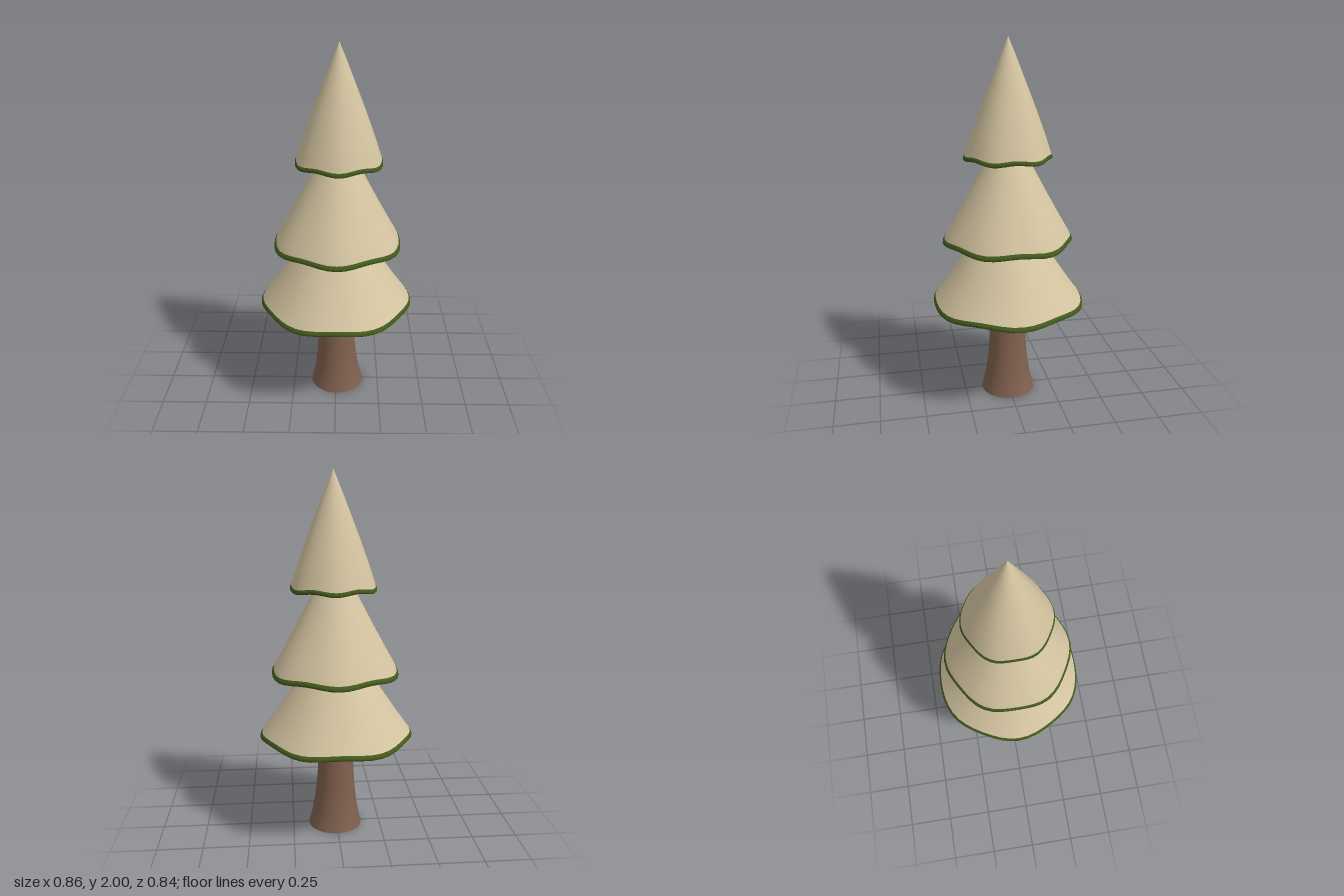
import * as THREE from 'three';
import { mergeVertices } from 'three/addons/utils/BufferGeometryUtils.js';

const SEGMENTS = 48;
const material = (color) => new THREE.MeshStandardMaterial({ color });

// Closed smooth lathe; bend(vertex) may reshape every vertex before normals are made.
function turned(name, profile, mat, bend) {
  let geo = new THREE.LatheGeometry(profile.map(([r, y]) => new THREE.Vector2(r, y)), SEGMENTS);
  geo.deleteAttribute('uv');
  geo.deleteAttribute('normal');
  geo = mergeVertices(geo, 1e-5);
  const pos = geo.attributes.position;
  const v = new THREE.Vector3();
  for (let i = 0; i < pos.count; i++) {
    v.fromBufferAttribute(pos, i);
    bend(v);
    pos.setXYZ(i, v.x, v.y, v.z);
  }
  geo.computeVertexNormals();
  const mesh = new THREE.Mesh(geo, mat);
  mesh.name = name;
  return mesh;
}

// Six soft lobes: corners push out and droop, flats between them rise.
function lobes(radius, phase, amount, droop) {
  return (v) => {
    const r = Math.hypot(v.x, v.z);
    const wave = Math.cos(6 * (Math.atan2(v.z, v.x) - phase));
    const weight = Math.min(1, r / radius);
    const scale = 1 + amount * wave * weight ** 2;
    v.x *= scale;
    v.z *= scale;
    v.y -= droop * wave * weight ** 6;
  };
}

export function createModel() {
  const tree = new THREE.Group();
  tree.name = 'tree';
  const snow = material(0xd3c3a0);
  const green = material(0x435a1c);
  const bark = material(0x80604f);

  // Trunk with splayed foot and flared top
  const trunkCurve = new THREE.SplineCurve([
    [0.152, 0], [0.132, 0.08], [0.115, 0.19], [0.104, 0.32],
    [0.098, 0.44], [0.104, 0.49], [0.137, 0.54], [0.142, 0.58],
  ].map(([r, y]) => new THREE.Vector2(r, y)));
  const trunkProfile = trunkCurve.getPoints(24).map((p) => [p.x, p.y]);
  tree.add(turned('trunk', trunkProfile, bark, (v) => {
    v.x += 0.007 * (1 - v.y / 0.58);
  }));
  const foot = new THREE.Mesh(new THREE.CircleGeometry(0.152, SEGMENTS), bark);
  foot.name = 'trunkBase';
  foot.rotation.x = Math.PI / 2;
  foot.position.set(0.007, 0.001, 0);
  tree.add(foot);

  // Tiers: rim radius, base height, sideways shift, lobe phase and slope profile
  const tiers = [
    { name: 'lowerTier', radius: 0.424, base: 0.552, x: 0, phase: 0, amount: 0.014,
      slope: [[0.415, 0.578], [0.395, 0.605], [0.35, 0.667], [0.27, 0.785], [0.19, 0.905], [0.145, 0.965], [0.001, 0.985]] },
    { name: 'middleTier', radius: 0.354, base: 0.915, x: 0.008, phase: Math.PI / 6, amount: 0.02,
      slope: [[0.344, 0.942], [0.328, 0.975], [0.285, 1.05], [0.205, 1.195], [0.115, 1.365], [0.095, 1.4], [0.001, 1.415]] },
    { name: 'upperTier', radius: 0.237, base: 1.376, x: 0.016, phase: Math.PI / 6, amount: 0.018,
      slope: [[0.23, 1.4], [0.218, 1.435], [0.197, 1.5], [0.14, 1.655], [0.075, 1.82], [0.035, 1.92], [0.001, 2]] },
  ];
  for (const { name, radius: R, base, x, phase, amount, slope } of tiers) {
    const tier = new THREE.Group();
    tier.name = name;
    tier.position.x = x;
    const bend = lobes(R, phase, amount, 0.007);
    // Underside and the thin rim wrapping up around the edge
    const rim = [
      [0.001, base + 0.025], [0.1, base + 0.022], [R * 0.6, base + 0.008], [R - 0.03, base],
      [R - 0.006, base], [R, base + 0.006], [R - 0.002, base + 0.016], [R - 0.01, base + 0.028],
      [R - 0.016, base + 0.03],
    ];
    tier.add(turned('foliageRim', rim, green, bend));
    tier.add(turned('canopy', slope, snow, bend));
    tree.add(tier);
  }
  return tree;
}
